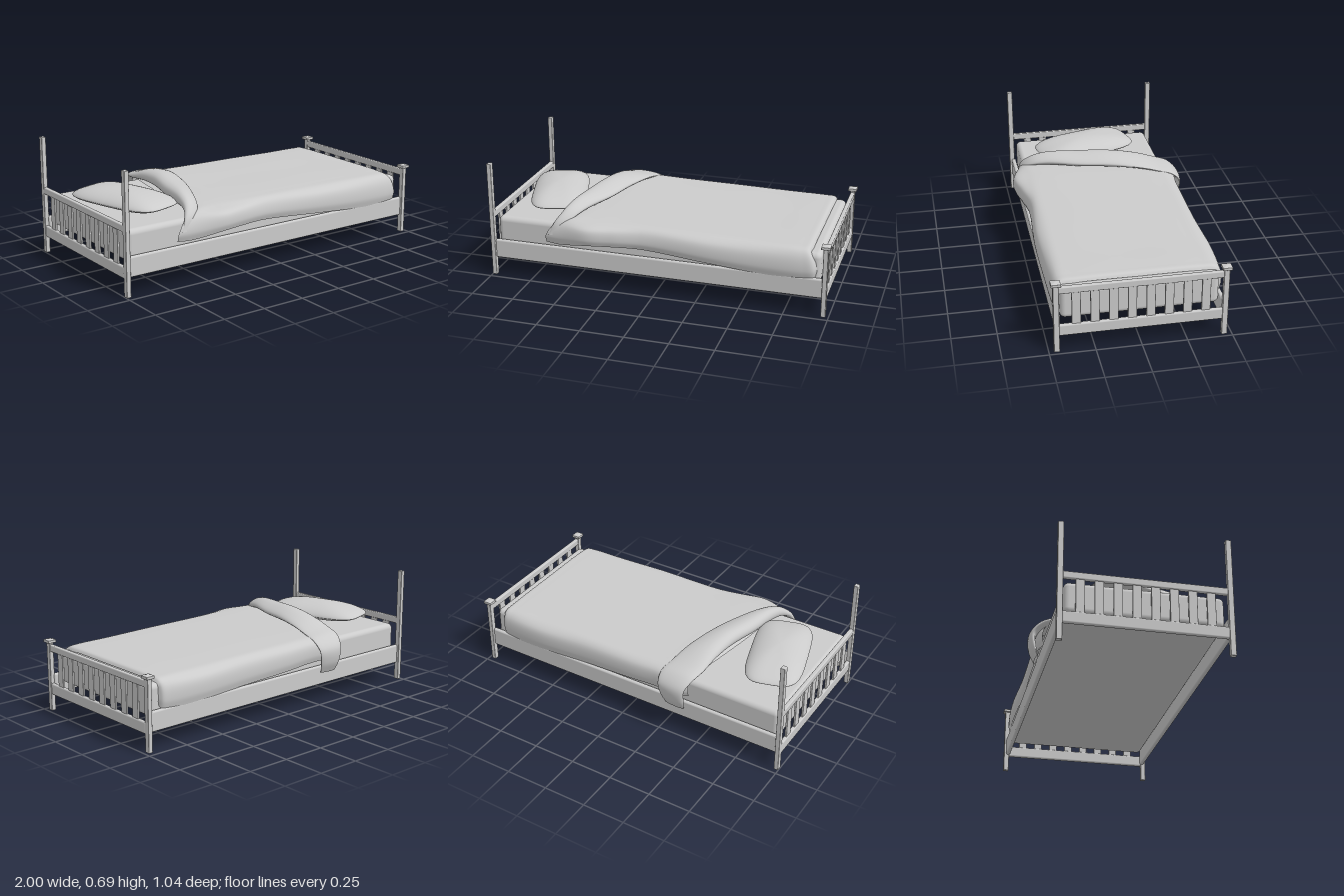
import * as THREE from 'three';
import { RoundedBoxGeometry } from 'three/addons/geometries/RoundedBoxGeometry.js';

const material = new THREE.MeshStandardMaterial({ color: 0xcccccc });
const cloth = new THREE.MeshStandardMaterial({ color: 0xcccccc, side: THREE.DoubleSide });

function add(parent, name, geometry, x = 0, y = 0, z = 0, mat = material) {
  const mesh = new THREE.Mesh(geometry, mat);
  mesh.name = name;
  mesh.position.set(x, y, z);
  parent.add(mesh);
  return mesh;
}

const bar = (w, h, d, r) => new RoundedBoxGeometry(w, h, d, 3, r);

// Smooth surface through a row of cross-sections with equal point counts
function loft(sections, across, along, closed = false) {
  const rows = sections.map((s) => new THREE.CatmullRomCurve3(s, closed).getPoints(across));
  const positions = [];
  const index = [];
  for (let j = 0; j <= across; j++) {
    const line = new THREE.CatmullRomCurve3(rows.map((r) => r[j]));
    for (const p of line.getPoints(along)) positions.push(p.x, p.y, p.z);
  }
  const n = along + 1;
  for (let j = 0; j < across; j++) {
    const next = closed ? (j + 1) % across : j + 1;
    for (let i = 0; i < along; i++) {
      const a = j * n + i, b = next * n + i;
      index.push(a, a + 1, b, a + 1, b + 1, b);
    }
  }
  const geometry = new THREE.BufferGeometry();
  geometry.setAttribute('position', new THREE.Float32BufferAttribute(positions, 3));
  geometry.setIndex(index);
  geometry.computeVertexNormals();
  return geometry;
}

// Posts, rails and slats of one end of the bed
function endFrame(name, x, postHeight, capped) {
  const end = new THREE.Group();
  end.name = name;
  for (const side of [-1, 1]) {
    add(end, 'post', bar(0.027, postHeight, 0.032, 0.004), x, postHeight / 2, side * 0.457);
    if (capped) {
      add(end, 'postCap', bar(0.051, 0.017, 0.053, 0.003), x, 0.4135, side * 0.457);
      const peak = new THREE.ConeGeometry(0.034, 0.006, 4).toNonIndexed();
      peak.rotateY(Math.PI / 4);
      peak.computeVertexNormals();
      add(end, 'postCapPeak', peak, x, 0.425, side * 0.457);
    }
  }
  add(end, 'bottomRail', bar(0.024, 0.067, 0.89, 0.009), x, 0.132, 0);
  add(end, 'topRail', bar(0.024, 0.04, 0.89, 0.006), x, 0.375, 0);
  for (let i = 0; i < 8; i++) {
    add(end, 'slat', bar(0.012, 0.205, 0.049, 0.003), x, 0.26, -0.35 + i * 0.1);
  }
  return end;
}

// Pillow: a sphere squared in plan and pinched to a seam around the edge
function pillowGeometry() {
  const geometry = new THREE.SphereGeometry(1, 48, 32);
  const pos = geometry.attributes.position;
  for (let i = 0; i < pos.count; i++) {
    const x = pos.getX(i), y = pos.getY(i), z = pos.getZ(i);
    const r = Math.hypot(x, z);
    const square = r > 1e-6 ? r / Math.pow(x ** 4 + z ** 4, 0.25) : 1;
    const h = Math.sign(y) * Math.pow(Math.abs(y), 1.25);
    pos.setXYZ(i, x * square * 0.165, h * (y > 0 ? 0.068 : 0.04), z * square * 0.31);
  }
  geometry.computeVertexNormals();
  return geometry;
}

// Blanket: stations from head to foot
// [x front hem, x front top, x back, top y, front hem y, front z, back hem y, back z]
function blanketGeometry() {
  const stations = [
    [-0.66, -0.58, -0.41, 0.378, 0.238, 0.452, 0.25, 0.45],
    [-0.58, -0.52, -0.36, 0.392, 0.238, 0.472, 0.25, 0.47],
    [-0.40, -0.40, -0.27, 0.395, 0.268, 0.515, 0.255, 0.475],
    [-0.25, -0.25, -0.18, 0.393, 0.268, 0.490, 0.25, 0.468],
    [-0.08, -0.08, -0.05, 0.390, 0.262, 0.462, 0.24, 0.468],
    [0.30, 0.30, 0.30, 0.386, 0.237, 0.478, 0.225, 0.466],
    [0.60, 0.60, 0.60, 0.381, 0.213, 0.473, 0.215, 0.476],
    [0.84, 0.82, 0.82, 0.379, 0.205, 0.466, 0.21, 0.466],
    [0.90, 0.87, 0.87, 0.375, 0.212, 0.458, 0.215, 0.458],
    [0.92, 0.885, 0.885, 0.357, 0.235, 0.435, 0.235, 0.435],
  ];
  const sections = stations.map(([xh, xf, xb, top, hf, zf, hb, zb]) => {
    const at = (x, y, z) => new THREE.Vector3(x, y, z);
    const mid = (k) => xf + (xb - xf) * k;
    return [
      at(xh, hf, zf - 0.012),
      at(xh, hf + (top - hf) * 0.3, zf),
      at((xh + xf) / 2, hf + (top - hf) * 0.75, zf - 0.012),
      at(xf, top - 0.008, Math.min(zf - 0.04, 0.425)),
      at(mid(0.2), top, 0.34),
      at(mid(0.5), top + 0.002, 0),
      at(mid(0.85), top, -0.34),
      at(xb, top - 0.008, -0.425),
      at(xb, hb + (top - hb) * 0.75, 0.008 - zb),
      at(xb, hb + (top - hb) * 0.3, -zb),
      at(xb, hb, 0.012 - zb),
    ];
  });
  return loft(sections, 60, 72);
}

// Turned-back edge: a soft flattened roll running diagonally over the bed
// [x left, x right, centre y, centre z, half thickness]
function foldGeometry() {
  const path = [
    [-0.64, -0.55, 0.29, 0.455, 0.008],
    [-0.61, -0.53, 0.36, 0.435, 0.014],
    [-0.58, -0.49, 0.40, 0.38, 0.026],
    [-0.56, -0.45, 0.422, 0.29, 0.036],
    [-0.53, -0.37, 0.43, 0.10, 0.040],
    [-0.49, -0.32, 0.435, -0.08, 0.042],
    [-0.47, -0.28, 0.423, -0.24, 0.034],
    [-0.46, -0.255, 0.397, -0.37, 0.022],
    [-0.44, -0.24, 0.375, -0.455, 0.018],
    [-0.415, -0.245, 0.325, -0.502, 0.017],
    [-0.41, -0.26, 0.25, -0.497, 0.017],
    [-0.40, -0.28, 0.185, -0.475, 0.008],
  ];
  const sections = path.map(([xl, xr, y, z, t], i) => {
    const a = path[Math.max(i - 1, 0)], b = path[Math.min(i + 1, path.length - 1)];
    const dy = b[2] - a[2], dz = b[3] - a[3], len = Math.hypot(dy, dz);
    const ny = -dz / len, nz = dy / len; // outward normal of the path
    return Array.from({ length: 12 }, (_, k) => {
      const angle = (k / 12) * Math.PI * 2;
      const c = Math.cos(angle);
      const h = Math.sin(angle) * t * (1 - 0.35 * c);
      return new THREE.Vector3((xl + xr) / 2 + c * (xr - xl) / 2, y + ny * h, z + nz * h);
    });
  });
  return loft(sections, 36, 66, true);
}

export function createModel() {
  const bed = new THREE.Group();
  bed.name = 'bed';

  bed.add(endFrame('headboard', -0.9865, 0.69, false));
  bed.add(endFrame('footboard', 0.97, 0.406, true));

  for (const side of [-1, 1]) {
    add(bed, 'sideRail', bar(1.94, 0.115, 0.026, 0.011), -0.008, 0.1625, side * 0.447);
  }

  add(bed, 'mattress', new RoundedBoxGeometry(1.905, 0.18, 0.862, 5, 0.03), -0.012, 0.265, 0);

  const pillow = add(bed, 'pillow', pillowGeometry(), -0.735, 0.395, 0.015);
  pillow.rotation.y = 0.29;

  add(bed, 'blanket', blanketGeometry(), 0, 0, 0, cloth);
  add(bed, 'blanketFold', foldGeometry(), 0, 0, 0, cloth);

  return bed;
}
